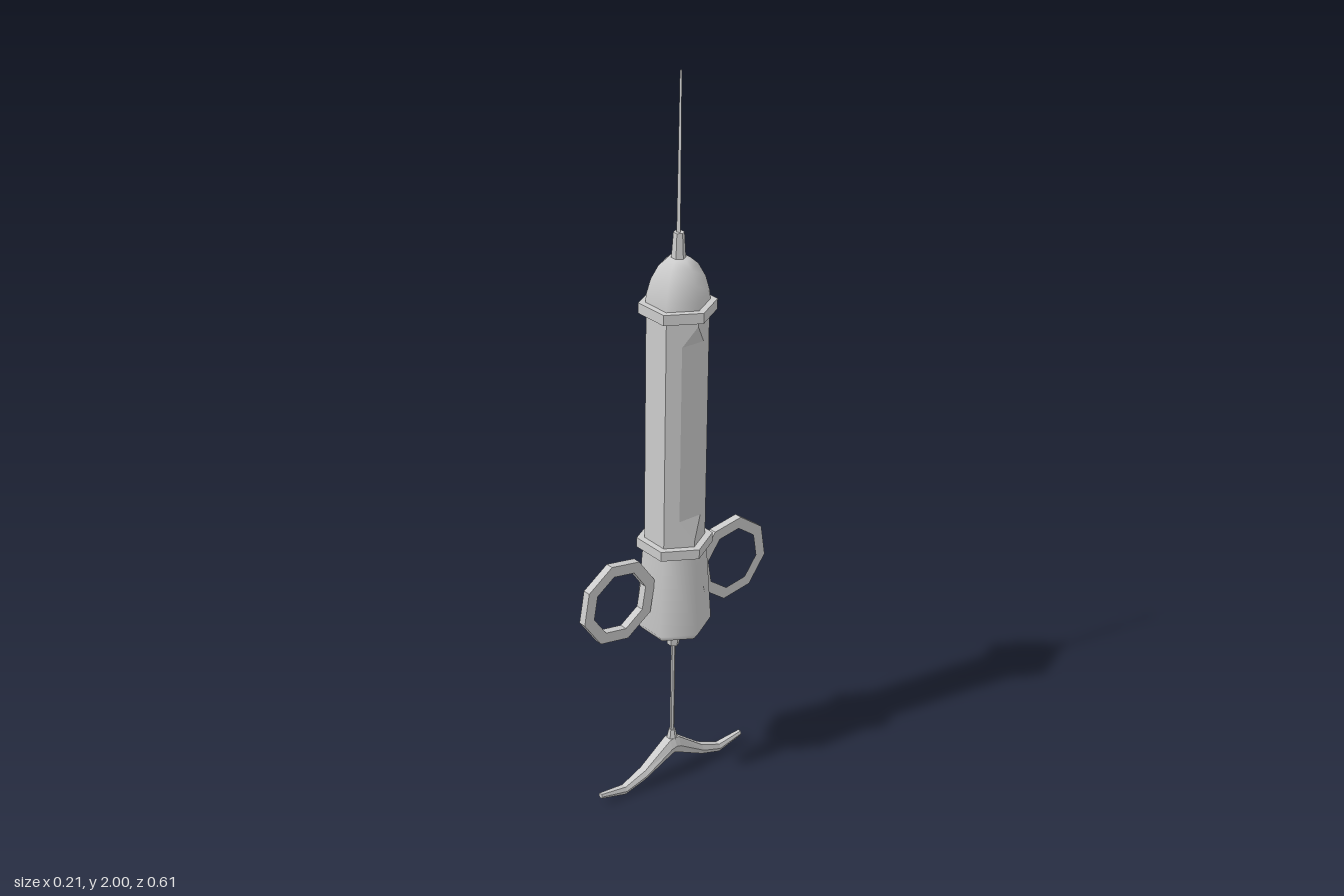
import * as THREE from 'three';

const flat = new THREE.MeshStandardMaterial({ color: 0xcccccc, flatShading: true });
const smooth = new THREE.MeshStandardMaterial({ color: 0xcccccc });

function add(parent, name, geometry, material) {
  const mesh = new THREE.Mesh(geometry, material);
  mesh.name = name;
  parent.add(mesh);
  return mesh;
}

// Tapered prism between two heights; corners point along the x axis.
function prism(y0, y1, r0, r1, sides = 6) {
  const g = new THREE.CylinderGeometry(r1, r0, y1 - y0, sides, 1, false, Math.PI / 2);
  return g.translate(0, (y0 + y1) / 2, 0);
}

// Six-sided turned form from [radius, y] pairs, listed upwards.
function turned(profile) {
  return new THREE.LatheGeometry(profile.map(([r, y]) => new THREE.Vector2(r, y)), 6, Math.PI / 2);
}

// Skin over equal-length loops, each counterclockwise seen from the last loop, with capped ends.
function loft(loops) {
  const n = loops[0].length, index = [];
  for (let i = 0; i < loops.length - 1; i++) {
    for (let j = 0; j < n; j++) {
      const a = i * n + j, b = i * n + (j + 1) % n;
      index.push(a, b, b + n, a, b + n, a + n);
    }
  }
  const last = (loops.length - 1) * n;
  for (let j = 1; j < n - 1; j++) {
    index.push(0, j + 1, j, last, last + j, last + j + 1);
  }
  const g = new THREE.BufferGeometry();
  g.setAttribute('position', new THREE.Float32BufferAttribute(loops.flat(2), 3));
  g.setIndex(index);
  const out = g.toNonIndexed();
  out.computeVertexNormals();
  return out;
}

// Hexagonal barrel whose two side corners are cut back by "cut" to form flat windows.
function barrelGeometry() {
  const r = 0.08, t = Math.sqrt(3);
  const section = ([y, cut]) => {
    const x = r - cut, w = cut * t, h = r * t / 2;
    return [
      [x, y, w], [x, y, -w], [r / 2, y, -h], [-r / 2, y, -h],
      [-x, y, -w], [-x, y, w], [-r / 2, y, h], [r / 2, y, h],
    ];
  };
  return loft([[0.73, 0], [0.76, 0], [0.82, 0.02], [1.31, 0.02], [1.365, 0], [1.39, 0]].map(section));
}

// Two drooping arms, swept along z: [z, top, bottom, half width].
function thumbGripGeometry() {
  const arm = [
    [0.245, 0.037, 0.024, 0.008], [0.165, 0.028, 0.005, 0.013],
    [0.1, 0.055, 0.026, 0.018], [0.015, 0.118, 0.068, 0.021],
  ];
  const sections = [
    ...arm.map(([z, ...rest]) => [-z, ...rest]),
    [0, 0.12, 0.075, 0.022],
    ...arm.slice().reverse(),
  ];
  return loft(sections.map(([z, top, bottom, w]) => {
    const mid = (top + bottom) / 2;
    return [[w, mid, z], [w * 0.6, top, z], [-w * 0.6, top, z],
      [-w, mid, z], [-w * 0.6, bottom, z], [w * 0.6, bottom, z]];
  }));
}

// Octagonal finger loop standing in the yz plane.
function fingerRingGeometry(side) {
  const octagon = (radius) => Array.from({ length: 8 }, (_, i) => {
    const a = (77 + i * 45) * Math.PI / 180;
    return new THREE.Vector2(side * (0.19 + radius * Math.cos(a)), 0.615 + radius * Math.sin(a));
  });
  const shape = new THREE.Shape(octagon(0.118));
  shape.holes.push(new THREE.Path(octagon(0.086)));
  const g = new THREE.ExtrudeGeometry(shape, { depth: 0.022, bevelEnabled: false });
  return g.rotateY(-Math.PI / 2).translate(0.013, 0, 0);
}

export function createModel() {
  const model = new THREE.Group();
  model.name = 'syringe';

  // The whole tool leans very slightly.
  const tool = new THREE.Group();
  tool.name = 'tool';
  tool.position.set(-0.013, 0, 0.003);
  tool.rotation.set(-0.006, 0, -0.012);
  model.add(tool);

  // Needle end
  add(tool, 'needle', prism(1.58, 2, 0.006, 0.003, 3), flat);
  add(tool, 'needleHub', prism(1.515, 1.59, 0.019, 0.014), flat);
  add(tool, 'dome', turned([
    [0.082, 1.4], [0.08, 1.43], [0.069, 1.47], [0.05, 1.505], [0.03, 1.522], [0, 1.527],
  ]), smooth);

  // Barrel with a collar at each end
  add(tool, 'barrel', barrelGeometry(), flat);
  add(tool, 'upperCollar', prism(1.38, 1.408, 0.1, 0.1), flat);
  add(tool, 'lowerCollar', prism(0.718, 0.745, 0.1, 0.1), flat);

  // Flared handle with finger rings front and back
  add(tool, 'handle', turned([[0.086, 0.472], [0.1, 0.49], [0.083, 0.73]]), smooth);
  add(tool, 'handleBase', prism(0.47, 0.473, 0.084, 0.086), flat);
  add(tool, 'frontFingerRing', fingerRingGeometry(1), flat);
  add(tool, 'backFingerRing', fingerRingGeometry(-1), flat);

  // Plunger
  add(tool, 'plungerGuide', prism(0.415, 0.475, 0.016, 0.021), flat);
  add(tool, 'plungerRod', prism(0.13, 0.42, 0.006, 0.006), flat);
  add(tool, 'plungerFoot', prism(0.1, 0.145, 0.018, 0.009), flat);
  add(tool, 'thumbGrip', thumbGripGeometry(), flat);

  return model;
}
